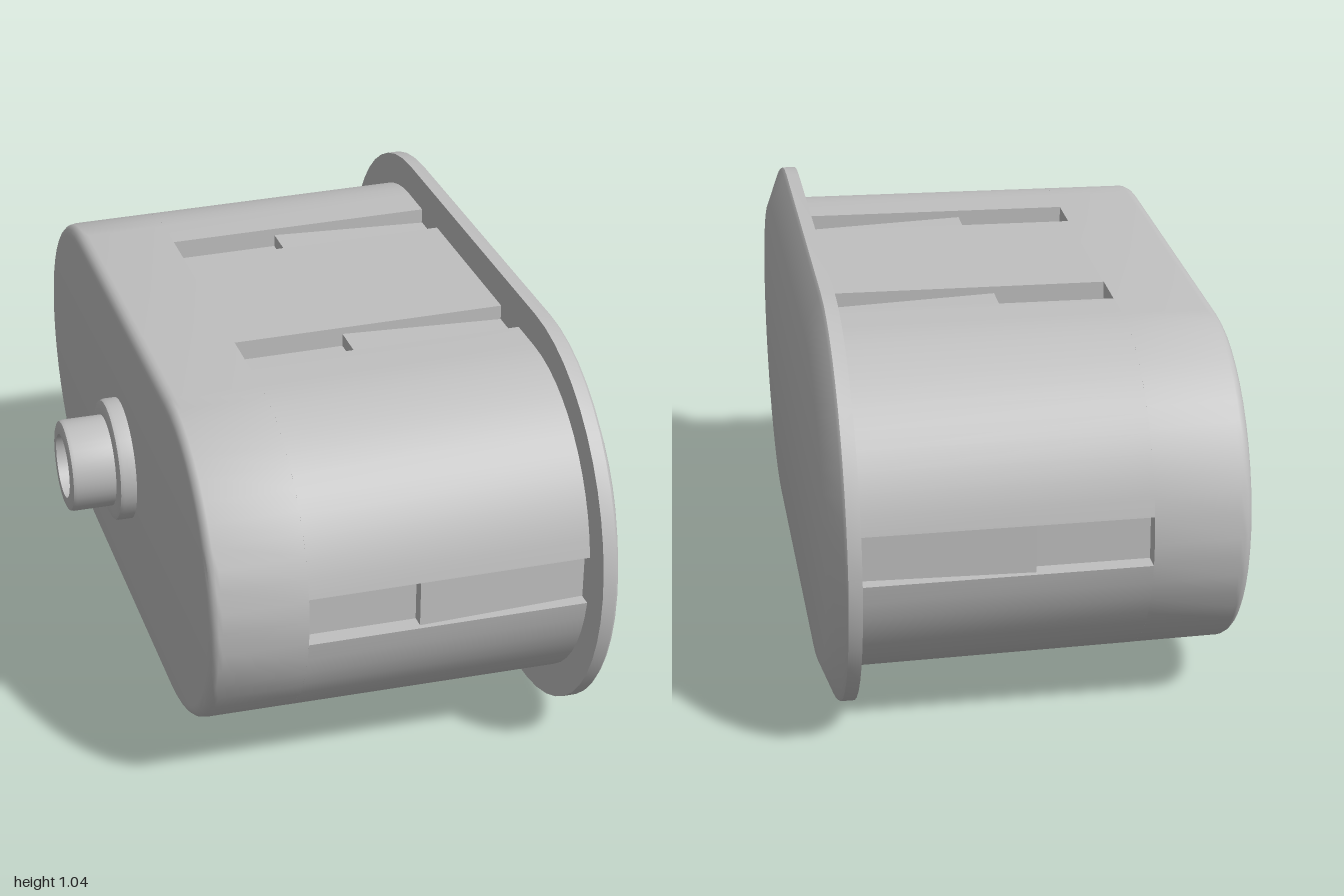
import * as THREE from 'three';
import { toCreasedNormals } from 'three/addons/utils/BufferGeometryUtils.js';

const CENTRE_Y = 0.52, HALF = 0.484;      // stadium centre height, half length of its straight run
const BODY_R = 0.42, SLOT_W = 0.0625, SLOT_DEPTH = 0.05, SLOT_Z = 0.311;
const BACK_X = -0.43, SLOT_X = -0.19, STEP_X = 0.09, FRONT_X = 0.515;

// Half of a stadium outline, counter-clockwise; the other half is its half turn
function wholeOutline(half) {
  return half.concat(half.map(p => new THREE.Vector2(-p.x, -p.y)));
}

function arc(cx, r, from, to, n) {
  return Array.from({ length: n + 1 }, (_, i) => {
    const a = from + (to - from) * i / n;
    return new THREE.Vector2(cx + r * Math.cos(a), r * Math.sin(a));
  });
}

function stadium(r) {
  const q = Math.PI / 2;
  return wholeOutline([...arc(HALF, r, 0, q, 12), ...arc(-HALF, r, q, 2 * q - 0.01, 12)]);
}

// Stadium with two notches on each long side and one at each end
function slottedStadium() {
  const r = BODY_R, w = SLOT_W, q = Math.PI / 2, a0 = Math.asin(w / r);
  const floorX = HALF + r - SLOT_DEPTH;
  const notch = s => [[s + w, r], [s + w, r - SLOT_DEPTH], [s - w, r - SLOT_DEPTH], [s - w, r]]
    .map(p => new THREE.Vector2(...p));
  return wholeOutline([
    new THREE.Vector2(floorX, w),
    ...arc(HALF, r, a0, q, 12),
    ...notch(SLOT_Z), ...notch(-SLOT_Z),
    ...arc(-HALF, r, q, Math.PI - a0, 12),
    new THREE.Vector2(-floorX, w),
  ]);
}

// Solid lofted along x through stadium rings given as [x, radius]
function loft(rings) {
  const pos = [], index = [];
  let n = 0;
  rings.forEach(([x, r]) => {
    const pts = stadium(r);
    n = pts.length;
    pts.forEach(p => pos.push(x, p.y, -p.x));
  });
  for (let k = 0; k < rings.length - 1; k++) {
    for (let i = 0; i < n; i++) {
      const a = k * n + i, b = k * n + (i + 1) % n;
      index.push(a, b, b + n, a, b + n, a + n);
    }
  }
  const last = (rings.length - 1) * n;
  for (let i = 1; i < n - 1; i++) {
    index.push(0, i + 1, i);
    index.push(last, last + i, last + i + 1);
  }
  const geo = new THREE.BufferGeometry();
  geo.setAttribute('position', new THREE.Float32BufferAttribute(pos, 3));
  geo.setIndex(index);
  return geo;
}

// Slight widening of the housing towards the cover
function taper(geo) {
  const p = geo.attributes.position;
  for (let i = 0; i < p.count; i++) {
    const t = (p.getX(i) - BACK_X) / (FRONT_X - BACK_X);
    p.setY(i, p.getY(i) * (1 + 0.024 * t));
    p.setZ(i, p.getZ(i) * (1 + 0.01 * t));
  }
  return geo;
}

export function createModel() {
  const model = new THREE.Group();
  model.name = 'housing';
  const grey = new THREE.MeshStandardMaterial({ color: 0xc0c0c0 });
  grey.name = 'grey plastic';

  const add = (name, geo, parent = model) => {
    const mesh = new THREE.Mesh(toCreasedNormals(geo, 0.6), grey);
    mesh.name = name;
    parent.add(mesh);
    return mesh;
  };

  // Closed rear of the housing with a rounded rim
  const rim = 0.03, rings = [];
  for (let i = 0; i <= 5; i++) {
    const a = i / 5 * Math.PI / 2;
    rings.push([BACK_X + rim * (1 - Math.sin(a)), BODY_R - rim * (1 - Math.cos(a))]);
  }
  rings.reverse();
  const ordered = rings.sort((a, b) => a[0] - b[0]);
  add('bodyRear', taper(loft([...ordered, [SLOT_X, BODY_R]])));

  // Slotted front of the housing
  const front = new THREE.ExtrudeGeometry(new THREE.Shape(slottedStadium()),
    { depth: FRONT_X - SLOT_X, bevelEnabled: false });
  front.rotateY(Math.PI / 2).translate(SLOT_X, 0, 0);
  add('bodyFront', taper(front));

  // Sloping snap tongues lying in the slots
  const profile = new THREE.Shape([[STEP_X, -0.06], [FRONT_X, -0.06], [FRONT_X, -0.028], [STEP_X, -0.012]]
    .map(p => new THREE.Vector2(...p)));
  const tongue = new THREE.ExtrudeGeometry(profile, { depth: SLOT_W * 2, bevelEnabled: false });
  tongue.translate(0, 0, -SLOT_W);
  const places = [
    [0, BODY_R, SLOT_Z], [0, BODY_R, -SLOT_Z],
    [Math.PI, BODY_R, SLOT_Z], [Math.PI, BODY_R, -SLOT_Z],
    [Math.PI / 2, HALF + BODY_R, 0], [-Math.PI / 2, HALF + BODY_R, 0],
  ];
  places.forEach(([angle, reach, side]) => {
    const pivot = new THREE.Group();
    pivot.name = 'tongueMount';
    pivot.rotation.x = angle;
    add('snapTongue', tongue, pivot).position.set(0, reach, side);
    model.add(pivot);
  });

  // Cover flange with a bevelled edge
  add('coverFlange', loft([[0.512, 0.515], [0.545, 0.515], [0.552, 0.508], [0.588, 0.417]]));

  // Stepped hollow nozzle on the rear
  const nozzle = [
    [0.16, 0.42], [0.16, 0.462], [0.157, 0.471], [0.148, 0.475], [0.12, 0.475],
    [0.12, 0.577], [0.117, 0.586], [0.108, 0.59], [0.084, 0.59], [0.084, 0.44], [0, 0.44],
  ].map(p => new THREE.Vector2(...p));
  add('nozzle', new THREE.LatheGeometry(nozzle, 40).rotateZ(Math.PI / 2));

  // Whole housing leans very slightly about its long axis
  model.rotation.x = -0.008;
  model.position.y = CENTRE_Y;
  const root = new THREE.Group();
  root.name = 'model';
  root.add(model);
  return root;
}
